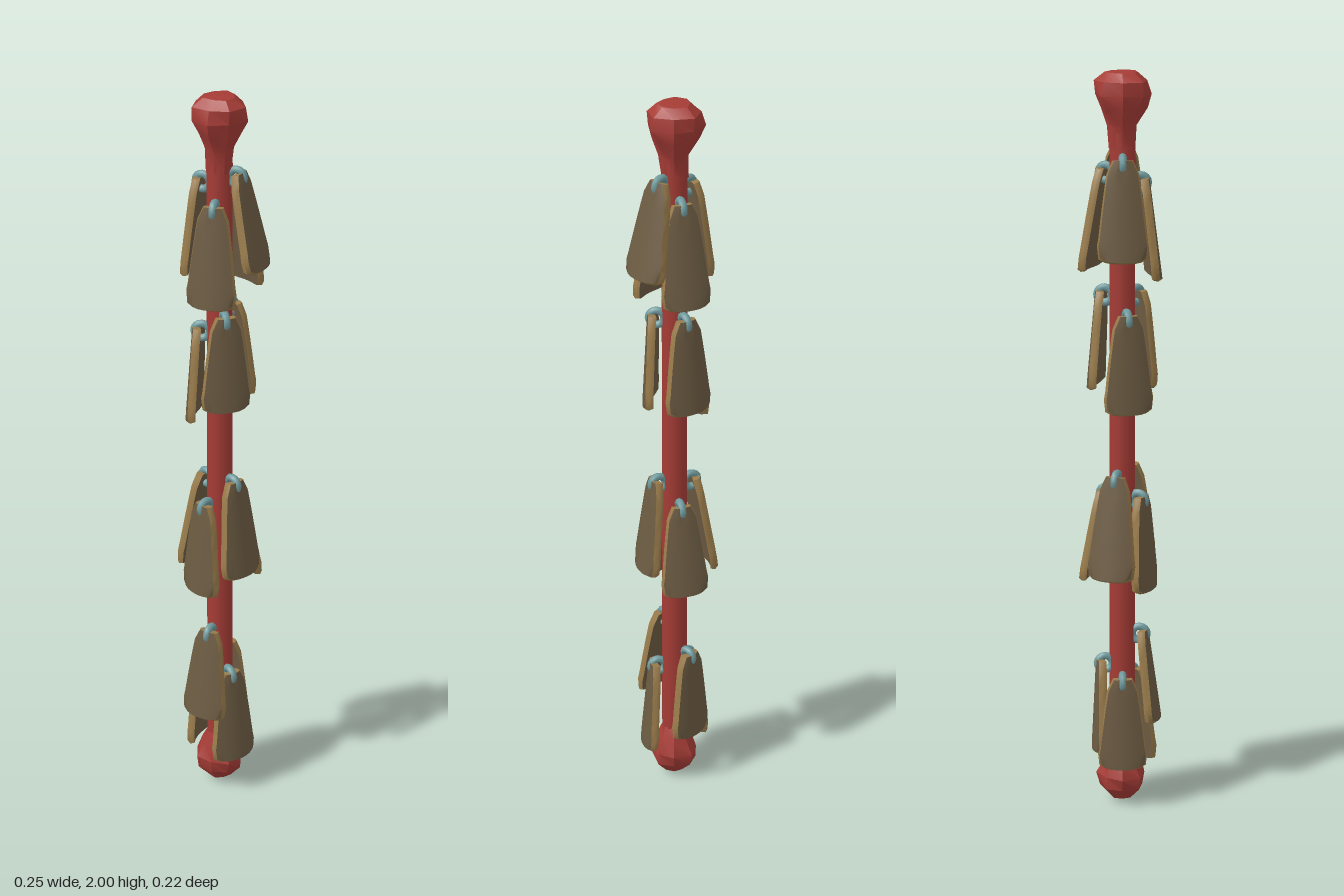
import * as THREE from 'three';
import { toCreasedNormals } from 'three/addons/utils/BufferGeometryUtils.js';

const mat = (name, color) => {
  const m = new THREE.MeshStandardMaterial({ color });
  m.name = name;
  return m;
};

// Moves every vertex of a geometry by a rule
function reshape(geo, rule) {
  const p = geo.attributes.position;
  const v = new THREE.Vector3();
  for (let i = 0; i < p.count; i++) {
    rule(v.fromBufferAttribute(p, i));
    p.setXYZ(i, v.x, v.y, v.z);
  }
  geo.computeVertexNormals();
  return geo;
}

// Tapered, slightly curved plate hanging from its top edge at the origin
function plateGeometry(length) {
  const geo = reshape(new THREE.BoxGeometry(1, 1, 1, 8, 8, 2), (v) => {
    const u = v.x * 2;                  // -1..1 across
    const t = 0.5 - v.y;                // 0 top .. 1 bottom
    const rim = Math.abs(v.z) < 0.1 ? 0.004 : 0;
    let half = 0.031 + 0.035 * Math.pow(t, 0.8) + rim;
    if (t > 0.99) half -= 0.007;
    if (t < 0.01) half -= 0.008;
    v.x = u * half;
    v.y = 0.012 - t * (length + 0.012) + (t > 0.8 ? 0.012 * u ** 4 : 0);
    v.y += t > 0.99 ? 0.004 - rim : 0;
    v.z = v.z * 0.021 + 0.006 - 0.014 * u * u * (0.4 + 0.6 * t);
  });
  return toCreasedNormals(geo, 0.8);
}

// Faceted knot turned from a profile, with a little unevenness
function knotGeometry(profile, phase) {
  const geo = new THREE.LatheGeometry(profile.map(([r, y]) => new THREE.Vector2(r, y)), 8);
  reshape(geo, (v) => {
    const a = Math.atan2(v.x, v.z);
    const k = 1 + 0.09 * Math.sin(a * 3 + phase + v.y * 40);
    v.x *= k;
    v.z *= k;
  });
  return toCreasedNormals(geo, 0.5);
}

// Tags: [angle in degrees from the front, ring height, bottom height, bottom distance from rope]
const TAGS = [
  [8, 1.71, 1.455, 0.088], [90, 1.79, 1.55, 0.115], [156, 1.735, 1.475, 0.1], [-90, 1.765, 1.515, 0.083],
  [40, 1.41, 1.16, 0.068], [-76, 1.36, 1.11, 0.073], [168, 1.415, 1.165, 0.077],
  [-25, 0.865, 0.615, 0.075], [69, 0.935, 0.675, 0.09], [155, 0.87, 0.63, 0.1], [-110, 0.925, 0.66, 0.102],
  [-8, 0.485, 0.24, 0.09], [57, 0.355, 0.1, 0.078], [184, 0.4, 0.15, 0.067], [-90, 0.36, 0.115, 0.07],
];

export function createModel() {
  const model = new THREE.Group();
  model.name = 'hangingTagCord';

  const red = mat('cordRed', 0xa63c36);
  const brown = mat('plateBrown', 0x6d5c43);
  const gold = mat('rimTan', 0x9a7c4b);
  const blue = mat('ringBlueGrey', 0x6f9a9d);

  const add = (parent, name, geo, material) => {
    const m = new THREE.Mesh(geo, material);
    m.name = name;
    parent.add(m);
    return m;
  };

  // Cord with a knot at each end
  const cord = add(model, 'cord', new THREE.CylinderGeometry(0.033, 0.035, 1.8, 10, 6), red);
  cord.position.y = 1;
  add(model, 'topKnot', knotGeometry([
    [0.034, 1.8], [0.038, 1.86], [0.06, 1.905], [0.072, 1.94], [0.068, 1.975], [0.042, 1.996], [0, 2],
  ], 0.5), red);
  add(model, 'bottomKnot', knotGeometry([
    [0, 0], [0.03, 0.012], [0.058, 0.045], [0.066, 0.08], [0.05, 0.12], [0.034, 0.16],
  ], 2), red);

  // Tags hung on small rings around the cord
  const ringGeo = new THREE.TorusGeometry(0.02, 0.0105, 8, 16).rotateY(Math.PI / 2);
  const hang = 0.055;
  TAGS.forEach(([deg, ringY, bottomY, reach]) => {
    const tag = new THREE.Group();
    tag.name = 'tag';
    tag.rotation.y = THREE.MathUtils.degToRad(deg);
    tag.position.y = ringY;
    model.add(tag);

    add(tag, 'ring', ringGeo, blue).position.z = 0.047;

    const drop = ringY - bottomY;
    const length = Math.hypot(drop, reach - hang);
    // Rim on the four sides, brown on the two broad faces
    const plate = add(tag, 'plate', plateGeometry(length), [gold, gold, gold, gold, brown, brown]);
    plate.position.z = hang;
    plate.rotation.x = -Math.atan2(reach - hang, drop);
  });

  return model;
}
